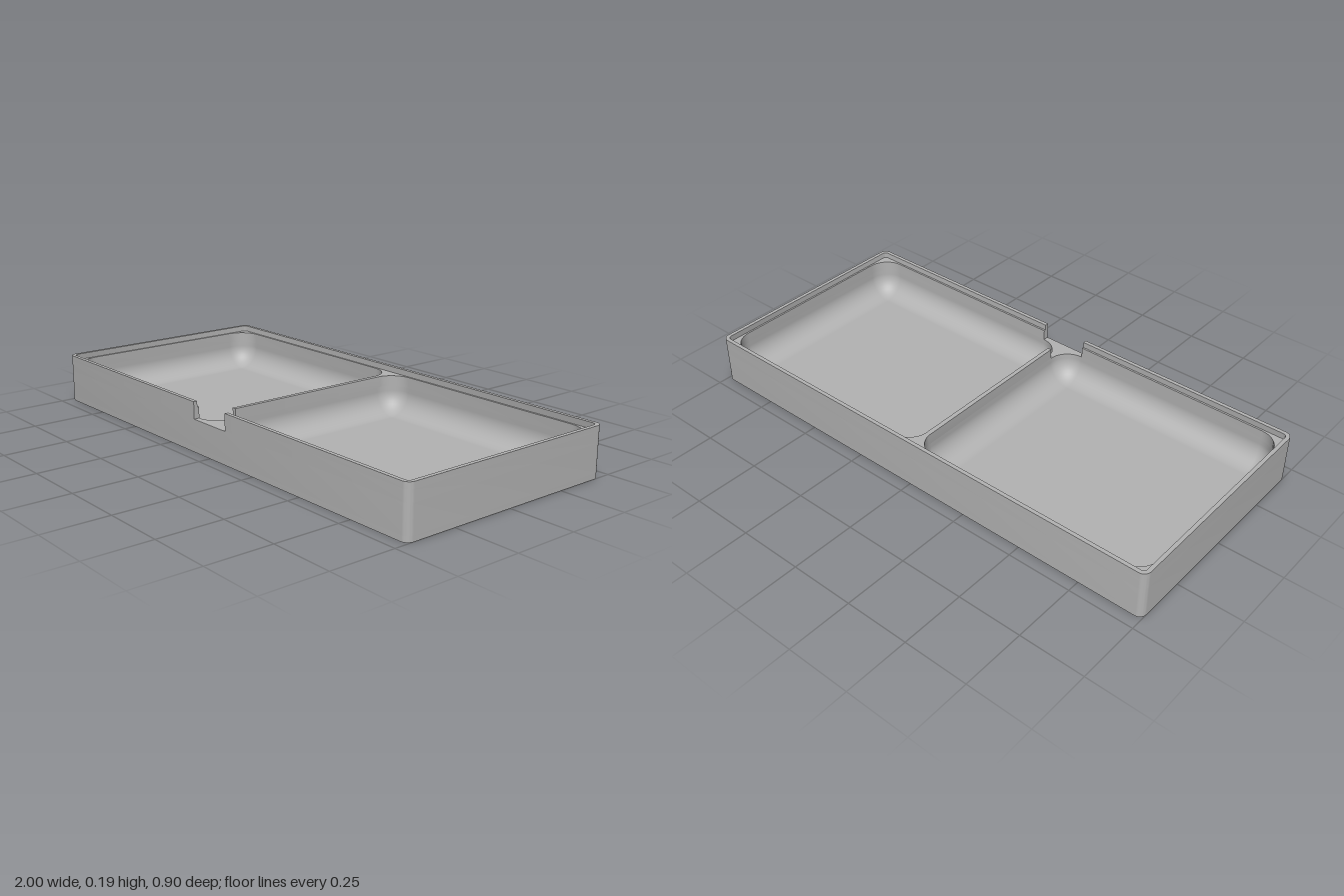
import * as THREE from 'three';
import { toCreasedNormals } from 'three/addons/utils/BufferGeometryUtils.js';

// Main dimensions
const HX = 1, HZ = 0.4525, HEIGHT = 0.19;
const FLOOR = 0.02, NOTCH_Y = 0.125, LEDGE_Y = 0.167;
const NOTCH = 0.094;                       // half width of the front notch
const POCKET = { cx: 0.493, hx: 0.485, hz: 0.43, r: 0.086 };
const STEPS = 10;

const V = (x, z) => new THREE.Vector2(x, z);

// Rounded rectangle in (x, z), running from corner `first`; 0 is +x +z
function roundRect(cx, hx, hz, r, first = 0) {
  const pts = [];
  for (let k = 0; k < 4; k++) {
    const q = (first + k) % 4;
    const sx = q === 0 || q === 3 ? 1 : -1, sz = q < 2 ? 1 : -1;
    for (let i = 0; i <= STEPS; i++) {
      const a = (q + i / STEPS) * Math.PI / 2;
      pts.push(V(cx + sx * (hx - r) + r * Math.cos(a), sz * (hz - r) + r * Math.sin(a)));
    }
  }
  return pts;
}

const mirror = (pts) => pts.map((p) => V(-p.x, p.y));
const pocketRing = (r = POCKET.r, inset = 0) =>
  roundRect(POCKET.cx, POCKET.hx - inset, POCKET.hz - inset, r, 2);

// Rounded rectangle left open across the notch at the front
const openRect = (hx, hz, r) => [V(-NOTCH, hz), ...roundRect(0, hx, hz, r, 1), V(NOTCH, hz)];

// Horizontal slab between two heights
function slab(outline, y0, y1, holes = []) {
  const shape = new THREE.Shape(outline);
  shape.holes = holes.map((h) => new THREE.Path(h));
  const geo = new THREE.ExtrudeGeometry(shape, { depth: y1 - y0, bevelEnabled: false });
  geo.rotateX(Math.PI / 2).translate(0, y1, 0);
  return toCreasedNormals(geo, 0.5);
}

// Concave fillet running around the bottom of one pocket
function filletGeometry() {
  const { r } = POCKET;
  const rim = pocketRing(), core = pocketRing(0, r);
  const n = rim.length, pos = [], nor = [], idx = [];
  for (let j = 0; j <= STEPS; j++) {
    const a = (j / STEPS) * Math.PI / 2, c = Math.cos(a), s = Math.sin(a);
    for (let i = 0; i < n; i++) {
      const dx = (rim[i].x - core[i].x) / r, dz = (rim[i].y - core[i].y) / r;
      pos.push(core[i].x + dx * r * c, FLOOR + r * (1 - s), core[i].y + dz * r * c);
      nor.push(-dx * c, s, -dz * c);
      if (j < STEPS) {
        const p = j * n + i, q = j * n + (i + 1) % n;
        idx.push(p, p + n, q, q, p + n, q + n);
      }
    }
  }
  const geo = new THREE.BufferGeometry();
  geo.setAttribute('position', new THREE.Float32BufferAttribute(pos, 3));
  geo.setAttribute('normal', new THREE.Float32BufferAttribute(nor, 3));
  geo.setIndex(idx);
  return geo;
}

export function createModel() {
  const group = new THREE.Group();
  group.name = 'tray';
  const grey = new THREE.MeshStandardMaterial({ color: 0xb3b3b3 });
  grey.name = 'grey';

  const add = (name, geo) => {
    const mesh = new THREE.Mesh(geo, grey);
    mesh.name = name;
    group.add(mesh);
    return mesh;
  };

  const outer = roundRect(0, HX, HZ, 0.028);
  const openOuter = openRect(HX, HZ, 0.028);
  const pocket = pocketRing();

  // Base plate, whose top is the pocket floor
  add('base', slab(outer, 0, FLOOR));

  // Walls and divider up to the notch floor
  add('lowerWalls', slab(outer, FLOOR, NOTCH_Y, [pocket, mirror(pocket)]));

  // Walls above the notch floor: the notch opens both pockets at their inner front corners
  const last = 3 * (STEPS + 1);
  const openPocket = [pocket[pocket.length - 1], ...pocket.slice(1, last), pocket[last]];
  const upper = [...openOuter, ...[...openPocket].reverse(), ...mirror(openPocket)];
  add('upperWalls', slab(upper, NOTCH_Y, LEDGE_Y));

  // Thin raised lip around the ledge
  const lipInner = openRect(HX - 0.015, HZ - 0.015, 0.015).reverse();
  add('lip', slab([...openOuter, ...lipInner], LEDGE_Y, HEIGHT));

  // Rounded pocket bottoms
  const fillet = filletGeometry();
  add('leftPocketFillet', fillet);
  add('rightPocketFillet', fillet).position.x = -2 * POCKET.cx;

  return group;
}
